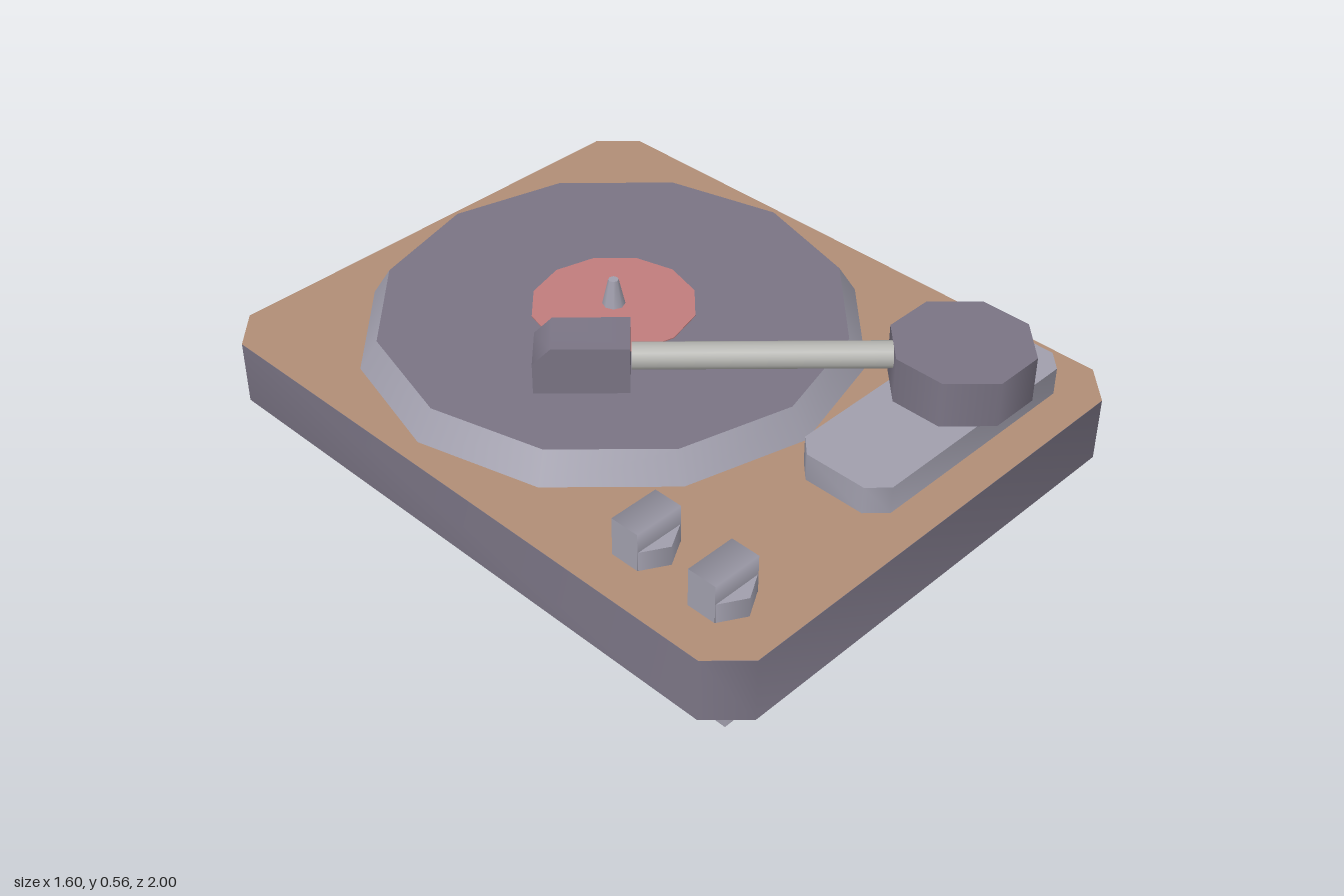
import * as THREE from 'three';
import { toCreasedNormals } from 'three/addons/utils/BufferGeometryUtils.js';

const mat = (name, color) => new THREE.MeshStandardMaterial({ name, color });

export function createModel() {
  const dark = mat('dark grey', 0x7a7484);
  const light = mat('light grey', 0xa09eac);
  const wood = mat('wood', 0xb08d76);
  const red = mat('label red', 0xc07c7c);
  const steel = mat('steel', 0xb4b4b0);

  const model = new THREE.Group();
  model.name = 'recordPlayer';

  const add = (name, geometry, material, x = 0, y = 0, z = 0, parent = model) => {
    const mesh = new THREE.Mesh(geometry, material);
    mesh.name = name;
    mesh.position.set(x, y, z);
    parent.add(mesh);
    return mesh;
  };

  // Rectangle with cut corners, lying in the shape plane
  const cutRect = (w, d, c) => {
    const x = w / 2, y = d / 2;
    return new THREE.Shape([
      [x - c, -y], [x, -y + c], [x, y - c], [x - c, y],
      [-x + c, y], [-x, y - c], [-x, -y + c], [-x + c, -y],
    ].map(([a, b]) => new THREE.Vector2(a, b)));
  };
  const slab = (w, d, c, h) => toCreasedNormals(
    new THREE.ExtrudeGeometry(cutRect(w, d, c), { depth: h, bevelEnabled: false })
      .rotateX(-Math.PI / 2), 0.9);

  // Four-sided prism with soft side shading
  const softBlock = (w, h, d) => new THREE.CylinderGeometry(Math.SQRT1_2, Math.SQRT1_2, 1, 4)
    .rotateY(Math.PI / 4).scale(w, h, d);

  // Body with wooden deck
  add('base', slab(1.6, 2, 0.1, 0.199), dark, 0, 0.1, 0);
  add('deck', new THREE.ShapeGeometry(cutRect(1.6, 2, 0.1)).rotateX(-Math.PI / 2), wood, 0, 0.3, 0);

  // Feet
  for (const x of [-0.6, 0.6])
    for (const z of [-0.8, 0.8]) add('foot', softBlock(0.2, 0.1, 0.2), light, x, 0.05, z);

  // Platter, label and spindle
  add('platter', new THREE.CylinderGeometry(0.682, 0.735, 0.085, 12), [light, dark, light], 0, 0.3425, -0.2);
  add('label', new THREE.CylinderGeometry(0.24, 0.24, 0.004, 12), red, 0, 0.386, -0.2);
  add('spindle', new THREE.CylinderGeometry(0.015, 0.034, 0.085, 8), light, 0, 0.4275, -0.2);

  // Tonearm mount and pivot
  add('armMount', slab(0.81, 0.295, 0.052, 0.085), light, 0.28, 0.3, 0.738);
  add('armPivot', new THREE.CylinderGeometry(0.2025, 0.2025, 0.14, 8).rotateY(Math.PI / 8),
    dark, 0.392, 0.455, 0.735);

  // Tonearm, running diagonally from the pivot to the head
  const start = new THREE.Vector3(-0.238, 0.488, 0.113);
  const end = new THREE.Vector3(0.34, 0.488, 0.69);
  const arm = add('toneArm', new THREE.CylinderGeometry(0.038, 0.038, start.distanceTo(end), 12), steel);
  arm.position.copy(start).lerp(end, 0.5);
  arm.quaternion.setFromUnitVectors(new THREE.Vector3(0, 1, 0), end.clone().sub(start).normalize());

  // Head with a sloped front edge; its tip points to -x before turning
  const profile = new THREE.Shape([
    [-0.13, -0.0725], [0.13, -0.0725], [0.13, 0.0725], [-0.08, 0.0725], [-0.13, 0.0225],
  ].map(([a, b]) => new THREE.Vector2(a, b)));
  const head = add('head', toCreasedNormals(
    new THREE.ExtrudeGeometry(profile, { depth: 0.146, bevelEnabled: false }).translate(0, 0, -0.073), 0.9),
  dark, -0.33, 0.488, 0.0175);
  head.rotation.y = -Math.PI / 4;

  // Control knobs with raised grips
  for (const z of [0.535, 0.797]) {
    const knob = new THREE.Group();
    knob.name = 'knob';
    knob.position.set(-0.605, 0.3, z);
    add('knobBase', new THREE.CylinderGeometry(0.088, 0.088, 0.06, 6), light, 0, 0.03, 0, knob);
    add('knobGrip', softBlock(0.118, 0.154, 0.09).rotateZ(Math.PI / 2), light, 0, 0.06, 0, knob);
    model.add(knob);
  }

  return model;
}
